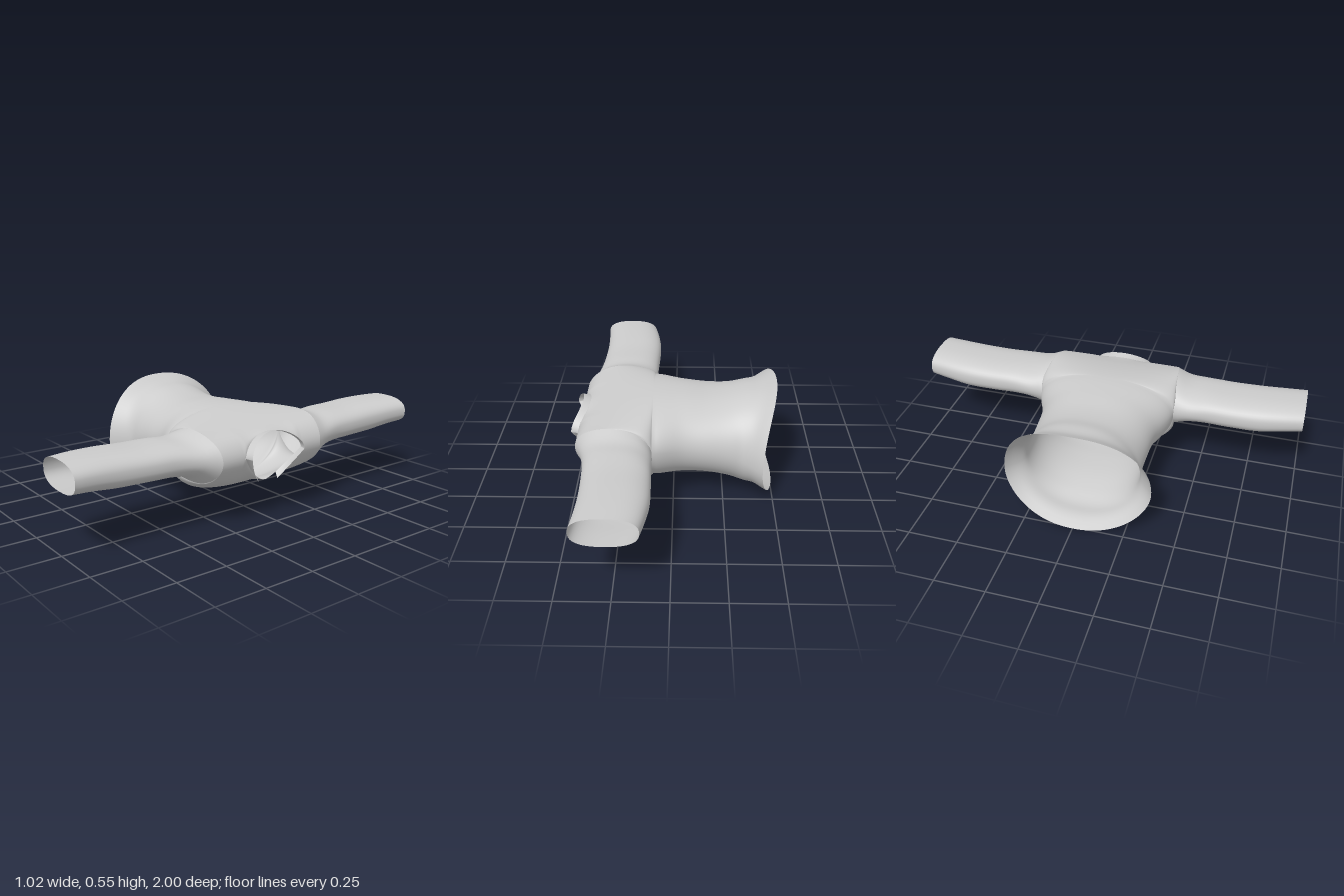
import * as THREE from 'three';
import { mergeGeometries, mergeVertices } from 'three/addons/utils/BufferGeometryUtils.js';

const { smoothstep, lerp } = THREE.MathUtils;
const spow = (v, p) => Math.sign(v) * Math.abs(v) ** p;

// Smooth lookup: each row is [position, ...values]
function spline(rows) {
  const n = rows[0].length - 1;
  const curve = new THREE.CubicInterpolant(rows.map(r => r[0]), rows.flatMap(r => r.slice(1)), n, new Float32Array(n));
  return t => Array.from(curve.evaluate(t));
}

// Surface grid: point(i, j) returns [x, y, z]
function grid(rows, cols, point) {
  const pos = [], index = [];
  for (let i = 0; i <= rows; i++) {
    for (let j = 0; j <= cols; j++) {
      pos.push(...point(i, j));
      if (i === rows || j === cols) continue;
      const a = i * (cols + 1) + j, b = a + cols + 1;
      index.push(a, b, a + 1, b, b + 1, a + 1);
    }
  }
  const g = new THREE.BufferGeometry();
  g.setAttribute('position', new THREE.Float32BufferAttribute(pos, 3));
  g.setIndex(index);
  return g;
}

function smooth(geometries) {
  const g = mergeVertices(mergeGeometries(geometries), 1e-4);
  g.computeVertexNormals();
  return g;
}

// Body sections: x, top, bottom, side seam height, half width
const section = spline([
  [-0.51, 0.557, 0.003, 0.24, 0.365],
  [-0.44, 0.524, 0.034, 0.24, 0.32],
  [-0.36, 0.513, 0.036, 0.25, 0.29],
  [-0.28, 0.493, 0.062, 0.27, 0.285],
  [-0.18, 0.486, 0.085, 0.29, 0.288],
  [-0.05, 0.495, 0.094, 0.31, 0.3],
  [0.1, 0.497, 0.093, 0.335, 0.355],
  [0.2, 0.485, 0.11, 0.335, 0.345],
  [0.3, 0.463, 0.163, 0.335, 0.335],
  [0.4, 0.434, 0.185, 0.335, 0.32],
  [0.47, 0.42, 0.19, 0.335, 0.3],
]);

// Armhole ellipse and neck half width
const ARM = { x: 0.285, rx: 0.185, ry: 0.125 };
const END = 0.47, NECK = 0.17;

// Point on the body at station x, fraction c across, on the upper (+1) or lower (-1) panel
function bodyPoint(x, c, side) {
  const [, , mid, width] = section(x);
  const z = width * c;
  const q = Math.min(1, Math.abs(z) / NECK);
  const nearNeck = smoothstep(x, 0.26, END);
  const hem = 1 - smoothstep(x, -0.51, -0.28);
  const dip = (side > 0 ? 0.05 : 0.062) * (1 - q * q);
  const px = x + 0.08 * c * c * hem - dip * nearNeck;
  const [top, bottom] = section(px > 0.2 ? px : x);

  const k = (x - ARM.x) / ARM.rx;
  const edge = mid + side * ARM.ry * Math.sqrt(Math.max(0, 1 - k * k));
  const round = Math.max(0, 1 - Math.abs(c) ** 2.3) ** 0.5;
  const neck = side > 0 ? Math.sqrt(1 - q * q) : 1 - q ** 1.6;
  const y = edge + ((side > 0 ? top : bottom) - edge) * lerp(round, neck, nearNeck ** 3);
  return [px, y, z];
}

// Sleeve sections: z, centre x, half width, centre y, half height
const sleeveSection = spline([
  [0.33, 0.285, 0.185, 0.335, 0.125],
  [0.4, 0.268, 0.172, 0.343, 0.092],
  [0.5, 0.255, 0.16, 0.352, 0.082],
  [0.62, 0.248, 0.157, 0.353, 0.08],
  [0.78, 0.245, 0.155, 0.358, 0.081],
  [0.9, 0.254, 0.15, 0.366, 0.075],
  [1.0, 0.267, 0.145, 0.37, 0.07],
]);

export function createModel() {
  const group = new THREE.Group();
  const material = new THREE.MeshStandardMaterial({ color: 0xcccccc, side: THREE.DoubleSide });
  const add = (name, geometry) => {
    const mesh = new THREE.Mesh(geometry, material);
    mesh.name = name;
    group.add(mesh);
  };

  // Body: upper and lower panels, joined at the sides and parted at the armholes
  const stations = [];
  for (let i = 0; i < 30; i++) stations.push(lerp(-0.51, 0.1, i / 30));
  for (let k = 0; k <= 24; k++) stations.push(ARM.x - ARM.rx * Math.cos(k * Math.PI / 24));
  const panel = side => grid(stations.length - 1, 72, (i, j) => {
    const c = Math.cos(j * Math.PI / 72);
    return bodyPoint(stations[i], side * c, side);
  });
  add('body', smooth([panel(1), panel(-1)]));

  // Sleeves: lofted from the armhole ring to the open cuff
  for (const s of [1, -1]) {
    const sleeve = grid(28, 48, (i, j) => {
      const t = i / 28, a = s * j * Math.PI / 24;
      const [cx, rx, cy, ry] = sleeveSection(lerp(0.33, 1, t));
      const p = lerp(1, 0.8, Math.min(1, t * 3));
      const x = cx - rx * spow(Math.cos(a), p);
      const rootX = ARM.x - ARM.rx * Math.cos(a);
      const z = lerp(section(rootX)[3], 1, t);
      return [x, cy + ry * spow(Math.sin(a), p), s * z];
    });
    add(s > 0 ? 'leftSleeve' : 'rightSleeve', smooth([sleeve]));
  }

  // Collar: narrow band around the neckline, open at the throat
  const gap = 0.36;
  const collar = grid(4, 64, (i, j) => {
    const a = lerp(-Math.PI / 2 + gap, Math.PI * 1.5 - gap, j / 64);
    const c = Math.cos(a) * NECK / section(END)[3];
    const [x, y, z] = bodyPoint(END, c, Math.sin(a) >= 0 ? 1 : -1);
    const t = i / 4, low = Math.max(0, -Math.sin(a)) ** 2;
    return [x + t * lerp(0.036, 0.015, low), y + t * (0.008 * Math.sin(a) - 0.022 * low), z * (1 - 0.06 * t)];
  });
  add('collar', smooth([collar]));

  return group;
}
